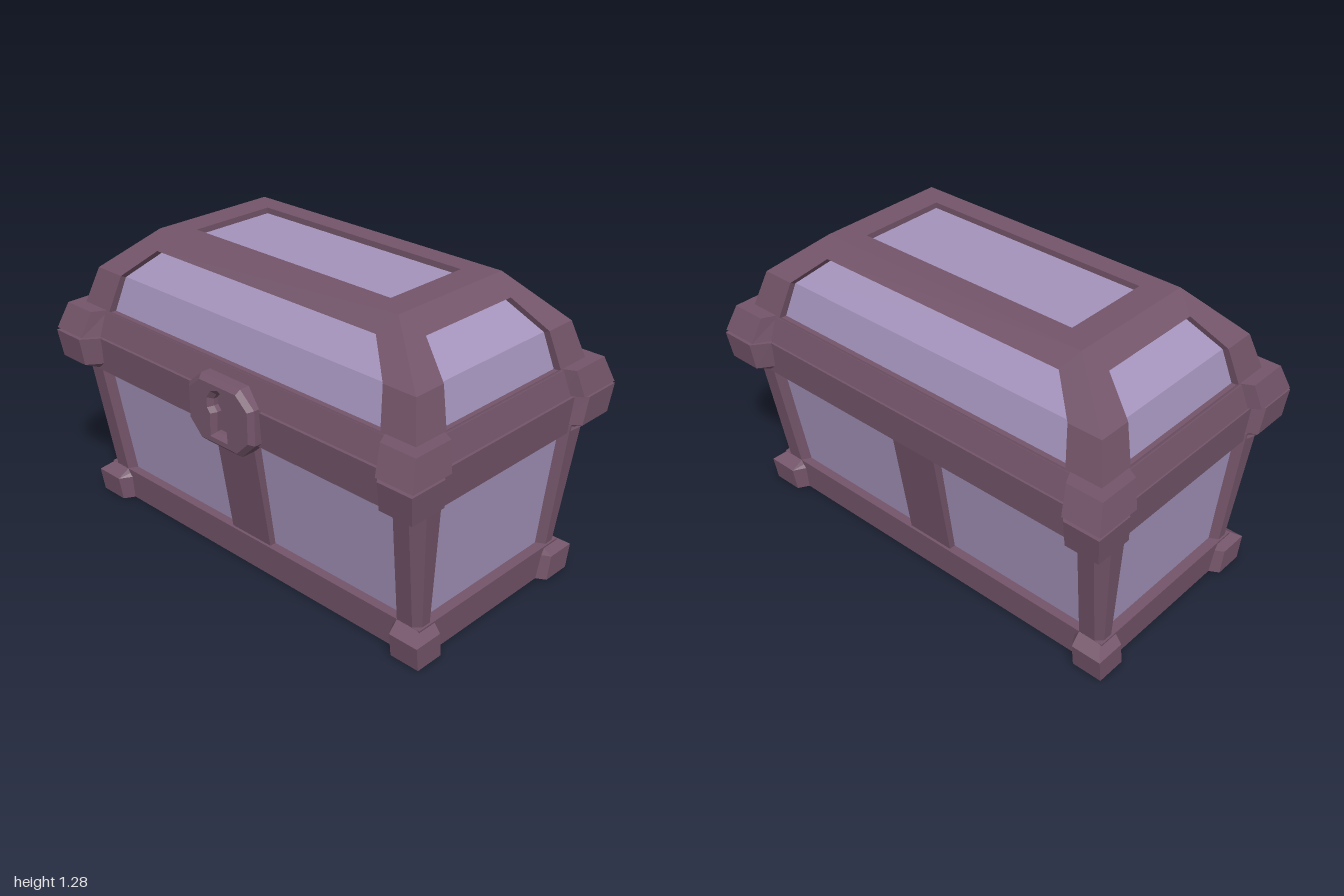
import * as THREE from 'three';

const frameMat = new THREE.MeshStandardMaterial({ color: 0x74556a, flatShading: true });
const panelMat = new THREE.MeshStandardMaterial({ color: 0xa594bd, flatShading: true });

// Geometry from a list of polygons, each drawn as a fan
function fromPolygons(polys) {
  const pos = [];
  for (const p of polys)
    for (let i = 1; i < p.length - 1; i++) pos.push(...p[0], ...p[i], ...p[i + 1]);
  const g = new THREE.BufferGeometry();
  g.setAttribute('position', new THREE.Float32BufferAttribute(pos, 3));
  g.computeVertexNormals();
  return g;
}

// Side quads between two loops of equal length
const bridge = (a, b) => a.map((p, i) => {
  const j = (i + 1) % a.length;
  return [p, a[j], b[j], b[i]];
});

// Solid through horizontal rings, bottom to top
function loft(rings, bottomCap = true) {
  const polys = [];
  for (let i = 0; i < rings.length - 1; i++) polys.push(...bridge(rings[i], rings[i + 1]));
  polys.push(rings.at(-1));
  if (bottomCap) polys.push([...rings[0]].reverse());
  return fromPolygons(polys);
}

// Flat border around an opening, with walls going inward
function rim(outer, inner, offset) {
  const deep = inner.map((p) => p.map((v, i) => v + offset[i]));
  return fromPolygons([...bridge(outer, inner), ...bridge(inner, deep)]);
}

const rect = ([y, hx, hz]) => [[-hx, y, hz], [hx, y, hz], [hx, y, -hz], [-hx, y, -hz]];

// Plan of a corner piece: outer corner, face widths, inner bevel b, corner chamfer c
function cornerRing([y, ox, oz, wx, wz, b, c], sx, sz) {
  const d = 0.07;
  const ring = [
    [ox - wx - b, oz - d], [ox - wx, oz], [ox - c, oz], [ox, oz - c],
    [ox, oz - wz], [ox - d, oz - wz - b], [ox - wx - b, oz - wz - b],
  ].map(([x, z]) => [x * sx, y, z * sz]);
  return sx * sz < 0 ? ring.reverse() : ring;
}

export function createModel() {
  const model = new THREE.Group();
  const add = (name, geo, mat = frameMat, parent = model) => {
    const m = new THREE.Mesh(geo, mat);
    m.name = name;
    parent.add(m);
    return m;
  };
  const corners = (name, levels) => {
    const g = new THREE.Group();
    g.name = name;
    for (const sx of [-1, 1]) for (const sz of [-1, 1])
      add(name + 'Piece', loft(levels.map((l) => cornerRing(l, sx, sz))), frameMat, g);
    model.add(g);
  };

  // Recessed panels of the body and the lid
  add('bodyPanels', loft([[0.03, 0.38, 0.86], [0.7, 0.475, 0.915]].map(rect)), panelMat);
  add('lidPanels', loft([[0.9, 0.48, 0.9], [1.09, 0.43, 0.85], [1.26, 0.28, 0.635]].map(rect)), panelMat);

  // Horizontal bands
  add('baseBand', loft([[0, 0.425, 0.905], [0.145, 0.437, 0.915]].map(rect), false));
  add('baseUnderside', rim(
    rect([0, 0.425, 0.905]).reverse(), rect([0, 0.355, 0.82]).reverse(), [0, 0.04, 0]));
  add('bodyBand', loft([[0.665, 0.525, 0.945], [0.822, 0.537, 0.955]].map(rect)));
  add('lidSeam', loft([[0.81, 0.52, 0.94], [0.845, 0.52, 0.94]].map(rect)));
  add('lidBand', loft([[0.832, 0.537, 0.955], [0.94, 0.505, 0.925]].map(rect)));

  // Corner pieces: [y, outer x, outer z, face width x, face width z, bevel, chamfer]
  corners('foot', [
    [0, 0.472, 0.945, 0.132, 0.135, 0.04, 0],
    [0.108, 0.488, 0.948, 0.133, 0.135, 0.04, 0],
    [0.145, 0.435, 0.905, 0.09, 0.1, 0.035, 0],
  ]);
  corners('cornerPost', [
    [0.1, 0.43, 0.903, 0.065, 0.1, 0.038, 0.025],
    [0.7, 0.517, 0.955, 0.125, 0.12, 0.03, 0.045],
  ]);
  corners('bodyBandCorner', [
    [0.67, 0.52, 0.95, 0.125, 0.12, 0.03, 0],
    [0.702, 0.592, 0.99, 0.172, 0.15, 0.05, 0],
    [0.824, 0.61, 1, 0.175, 0.157, 0.053, 0],
  ]);
  corners('lidBandCorner', [
    [0.834, 0.605, 1, 0.205, 0.17, 0.042, 0],
    [0.945, 0.56, 0.97, 0.185, 0.16, 0.035, 0],
  ]);

  // Upright strut in the middle of each long side
  for (const s of [-1, 1]) {
    const ring = ([y, a, b]) => {
      const xs = [a * s, b * s].sort((p, q) => p - q);
      return [[xs[0], y, 0.112], [xs[1], y, 0.112], [xs[1], y, -0.112], [xs[0], y, -0.112]];
    };
    add('sideStrut', loft([[0.1, 0.36, 0.418], [0.7, 0.44, 0.512]].map(ring)));
  }

  // Lid frame: profile rows are [y, half width x, half width z]
  const prof = [[0.935, 0.505, 0.923], [1.1, 0.455, 0.875], [1.285, 0.295, 0.65]];
  const halfAt = (y, col) => {
    const k = y < prof[1][0] ? 0 : 1;
    const [a, b] = [prof[k], prof[k + 1]];
    return a[col] + (b[col] - a[col]) * (y - a[0]) / (b[0] - a[0]);
  };
  const lidFace = (uCol, nCol, opening) => {
    const loop = (rows) => {
      const right = rows.map(([u, y]) => [u, y, halfAt(y, nCol)]);
      const left = right.map(([u, y, n]) => [-u, y, n]).reverse();
      return [...right, ...left];
    };
    return rim(loop(prof.map((p) => [p[uCol], p[0]])), loop(opening), [0, -0.02, -0.04]);
  };
  const endFace = lidFace(1, 2, [[0.34, 0.945], [0.31, 1.1], [0.245, 1.215]]);
  const sideFace = lidFace(2, 1, [[0.76, 0.945], [0.725, 1.1], [0.6, 1.215]]);
  for (let k = 0; k < 4; k++)
    add(k % 2 ? 'lidSideFrame' : 'lidEndFrame', k % 2 ? sideFace : endFace).rotation.y = k * Math.PI / 2;
  add('lidTopFrame', rim(rect([1.285, 0.295, 0.65]), rect([1.285, 0.2, 0.53]), [0, -0.035, 0]));

  // Lock plate with a keyhole, on the right side
  const lock = new THREE.Group();
  lock.name = 'lock';
  const plate = new THREE.Shape([
    [-0.11, -0.145], [0.11, -0.145], [0.185, -0.07], [0.185, 0.08],
    [0.11, 0.145], [-0.11, 0.145], [-0.185, 0.08], [-0.185, -0.07],
  ].map(([x, y]) => new THREE.Vector2(x, y)));
  const keyhole = new THREE.Path();
  keyhole.moveTo(0.03, -0.085);
  keyhole.lineTo(0.024, 0);
  keyhole.absarc(0, 0.04, 0.046, -1, Math.PI + 1, false);
  keyhole.lineTo(-0.03, -0.085);
  plate.holes.push(keyhole);
  add('lockPlate', new THREE.ExtrudeGeometry(plate, {
    depth: 0.07, bevelThickness: 0.02, bevelSize: 0.02, bevelOffset: -0.02,
    bevelSegments: 1, curveSegments: 4,
  }), frameMat, lock);
  add('lockBack', new THREE.BoxGeometry(0.2, 0.24, 0.06).translate(0, 0, 0.02), frameMat, lock);
  lock.rotation.y = -Math.PI / 2;
  lock.position.set(-0.49, 0.757, 0);
  model.add(lock);

  return model;
}
